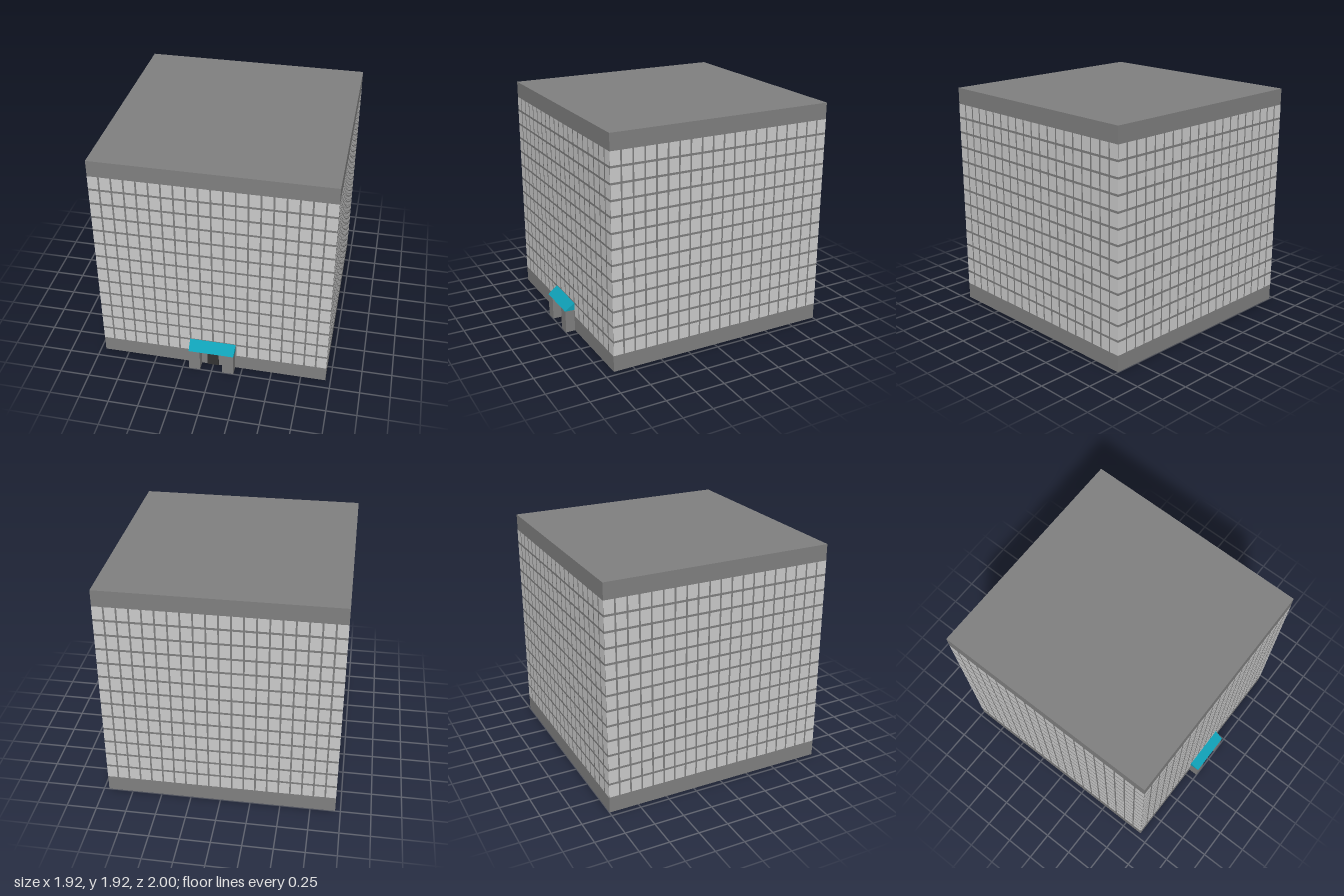
import * as THREE from 'three';
import { mergeGeometries } from 'three/addons/utils/BufferGeometryUtils.js';

const mat = (color) => new THREE.MeshStandardMaterial({ color });
const concrete = mat(0x808080);
const glass = mat(0xcccccc);
const teal = mat(0x0f9fb5);
const dark = mat(0x333333);

// Main block
const W = 1.914, H = 1.92, D = 1.917, ZC = -0.0415, FRONT = ZC + D / 2;

function add(parent, name, geometry, material, x = 0, y = 0, z = 0) {
  const mesh = new THREE.Mesh(geometry, material);
  mesh.name = name;
  mesh.position.set(x, y, z);
  parent.add(mesh);
  return mesh;
}

// Grid of panes covering one wall, facing +z, running right to the corners
function paneGrid(width) {
  const cols = 20, rows = 13, gapX = 0.014, gapY = 0.018, y0 = 0.14, y1 = 1.785;
  const w = (width - gapX * (cols - 1)) / cols;
  const h = (y1 - y0 - gapY * (rows - 1)) / rows;
  const panes = [];
  for (let r = 0; r < rows; r++) {
    for (let c = 0; c < cols; c++) {
      panes.push(new THREE.PlaneGeometry(w, h).translate(
        -width / 2 + w / 2 + c * (w + gapX), y0 + h / 2 + r * (h + gapY), 0));
    }
  }
  return mergeGeometries(panes);
}

// Wedge awning: sloping top, flat underside, slightly narrower at the front
function awningGeometry(width, height, depth) {
  const shape = new THREE.Shape([
    new THREE.Vector2(0, 0), new THREE.Vector2(depth, 0), new THREE.Vector2(0, height),
  ]);
  const g = new THREE.ExtrudeGeometry(shape, { depth: width, bevelEnabled: false });
  g.translate(0, 0, -width / 2).rotateY(-Math.PI / 2);
  const p = g.attributes.position;
  for (let i = 0; i < p.count; i++) p.setX(i, p.getX(i) * (1 - 0.3 * p.getZ(i)));
  g.computeVertexNormals();
  return g;
}

export function createModel() {
  const model = new THREE.Group();
  model.name = 'officeBlock';

  add(model, 'building', new THREE.BoxGeometry(W, H - 0.002, D), concrete, 0, H / 2 + 0.001, ZC);

  // Windows on all four walls
  const windows = new THREE.Group();
  windows.name = 'windows';
  windows.position.z = ZC;
  model.add(windows);
  ['front', 'left', 'back', 'right'].forEach((side, i) => {
    const across = i % 2 ? D : W, out = (i % 2 ? W : D) / 2 + 0.0015;
    const angle = i * Math.PI / 2;
    const wall = add(windows, side + 'Windows', paneGrid(across), glass,
      Math.sin(angle) * out, 0, Math.cos(angle) * out);
    wall.rotation.y = angle;
  });

  // Entrance: two piers, an awning and a door
  const entrance = new THREE.Group();
  entrance.name = 'entrance';
  entrance.position.set(-0.003, 0, FRONT);
  model.add(entrance);
  const depth = 1 - FRONT;
  for (const s of [-1, 1]) {
    add(entrance, s < 0 ? 'rightPier' : 'leftPier',
      new THREE.BoxGeometry(0.095, 0.195, depth - 0.002), concrete, s * 0.1435, 0.0975, depth / 2 - 0.001);
  }
  add(entrance, 'awning', awningGeometry(0.39, 0.065, depth), teal, 0, 0.195, 0);
  add(entrance, 'door', new THREE.BoxGeometry(0.098, 0.13, 0.006), dark, 0, 0.065, 0);

  // Small coloured patch on the underside
  add(model, 'basePatch', new THREE.PlaneGeometry(0.09, 0.09).rotateX(Math.PI / 2), teal, -0.327, 0, 0.187);

  return model;
}
